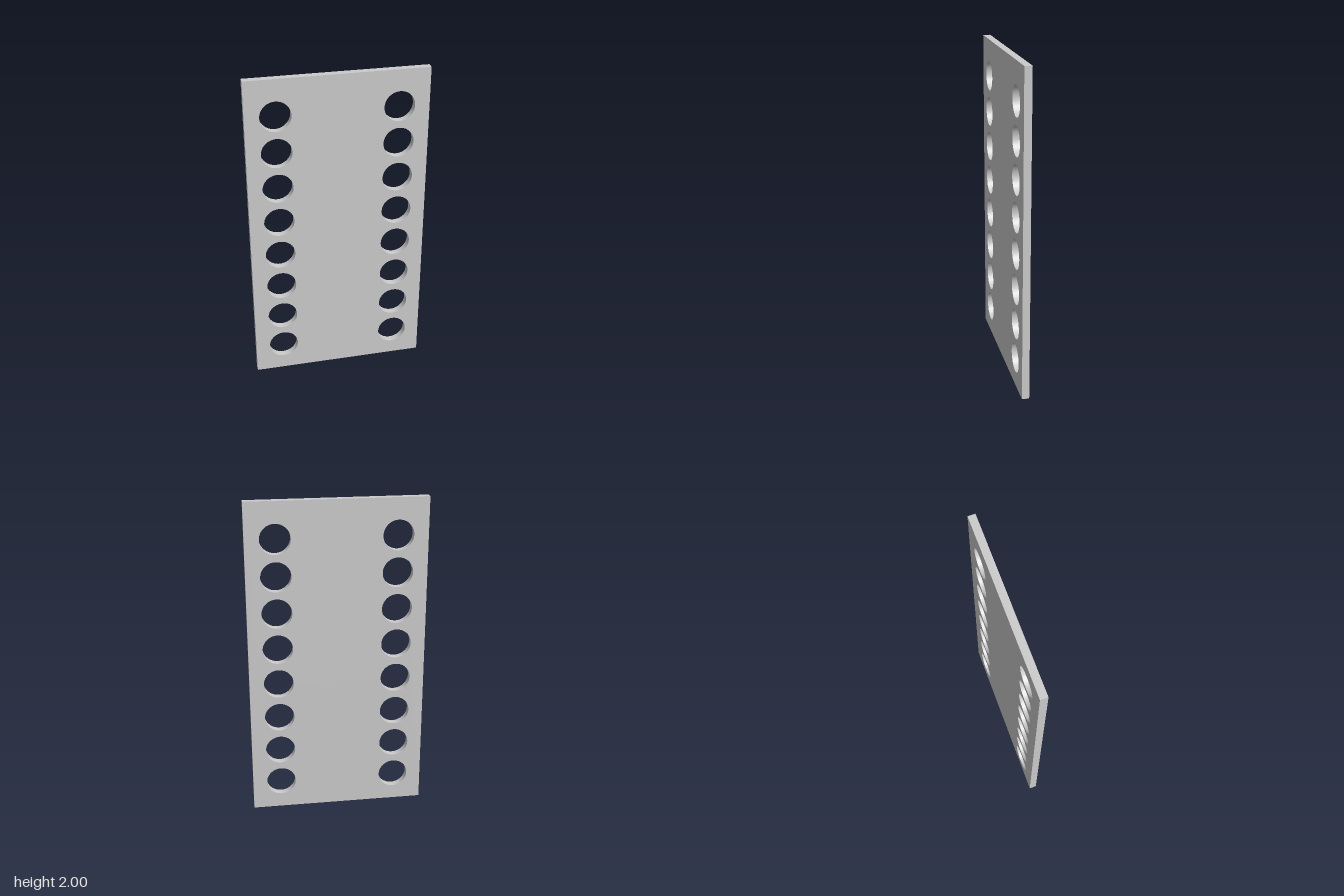
import * as THREE from 'three';
import { toCreasedNormals } from 'three/addons/utils/BufferGeometryUtils.js';

const WIDTH = 1.088, HEIGHT = 2, THICKNESS = 0.045;
const HOLE_RADIUS = 0.092, HOLE_X = 0.364, ROWS = 8, FIRST_ROW = 0.184, PITCH = 0.2274;

export function createModel() {
  const group = new THREE.Group();
  group.name = 'perforatedPlate';

  // Rectangular outline standing on the ground
  const w = WIDTH / 2;
  const outline = new THREE.Shape();
  outline.moveTo(-w, 0).lineTo(w, 0).lineTo(w, HEIGHT).lineTo(-w, HEIGHT).closePath();

  // Two mirrored columns of round through-holes
  for (const side of [-1, 1]) {
    for (let row = 0; row < ROWS; row++) {
      const hole = new THREE.Path();
      hole.absarc(side * HOLE_X, FIRST_ROW + row * PITCH, HOLE_RADIUS, 0, Math.PI * 2, true);
      outline.holes.push(hole);
    }
  }

  const geometry = new THREE.ExtrudeGeometry(outline, {
    depth: THICKNESS, bevelEnabled: false, curveSegments: 48,
  });
  geometry.translate(0, 0, -THICKNESS / 2);

  // Smooth hole walls, sharp rims and plate edges
  const plate = new THREE.Mesh(
    toCreasedNormals(geometry, Math.PI / 6),
    new THREE.MeshStandardMaterial({ color: 0xcccccc }),
  );
  plate.name = 'plate';
  group.add(plate);
  return group;
}
